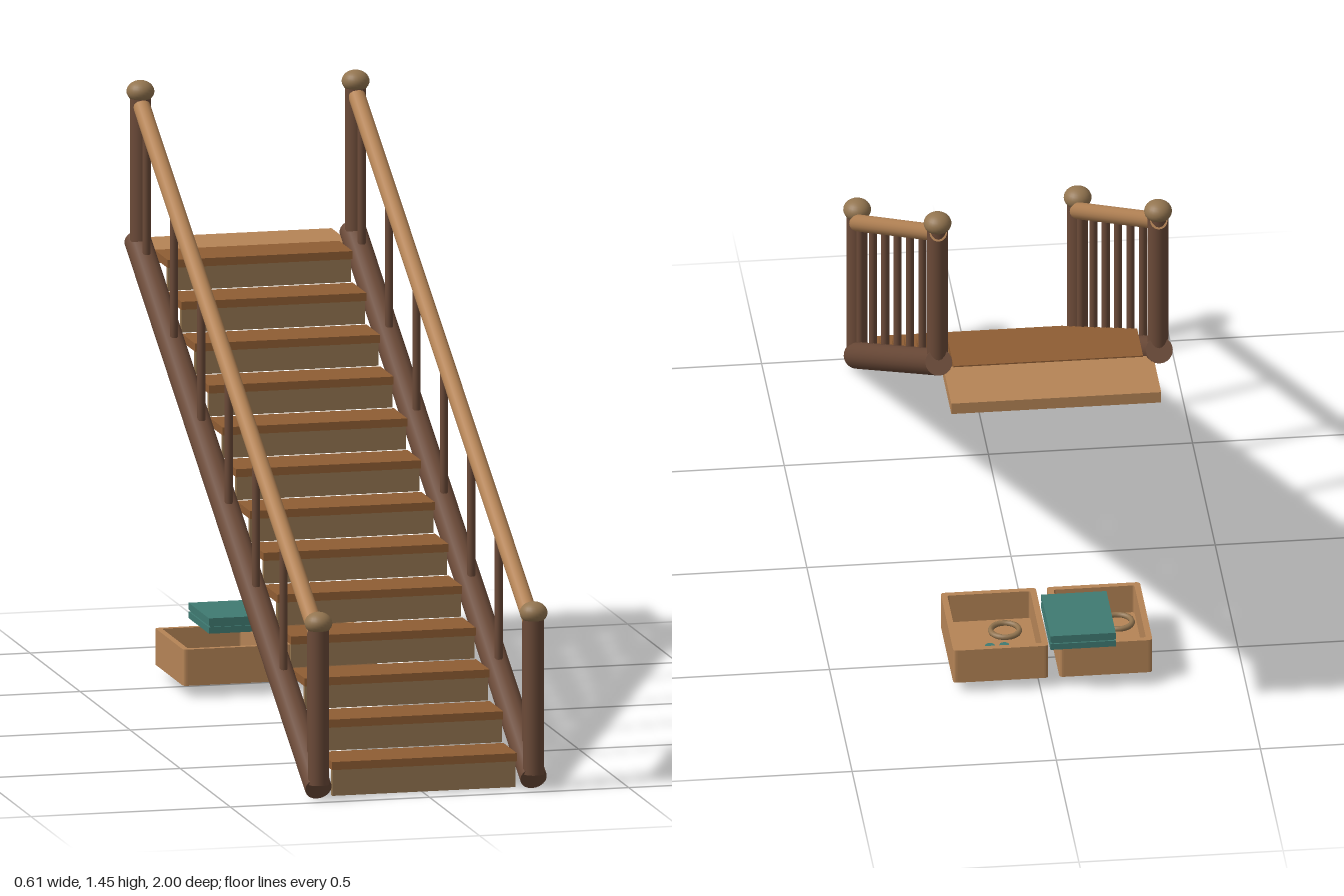
import * as THREE from 'three';

const mat = (name, color) => {
  const m = new THREE.MeshStandardMaterial({ color });
  m.name = name;
  return m;
};

export function createModel() {
  const root = new THREE.Group();
  root.name = 'staircase';
  const darkWood = mat('dark wood', 0x6b4a38);
  const treadWood = mat('tread wood', 0x8f5d33);
  const tanWood = mat('tan wood', 0x937550);
  const lightWood = mat('light wood', 0xb58456);
  const teal = mat('teal', 0x3f7a72);

  const add = (parent, name, geo, material, x, y, z) => {
    const m = new THREE.Mesh(geo, material);
    m.name = name;
    m.position.set(x, y, z);
    parent.add(m);
    return m;
  };
  const box = (parent, name, material, x0, x1, y0, y1, z0, z1) =>
    add(parent, name, new THREE.BoxGeometry(x1 - x0, y1 - y0, z1 - z0), material,
      (x0 + x1) / 2, (y0 + y1) / 2, (z0 + z1) / 2);

  // Round pole between two points
  const pole = (parent, name, material, a, b, r) => {
    const dir = b.clone().sub(a);
    const mid = a.clone().add(b).multiplyScalar(0.5);
    const m = add(parent, name, new THREE.CylinderGeometry(r, r, dir.length(), 20), material, mid.x, mid.y, mid.z);
    m.quaternion.setFromUnitVectors(new THREE.Vector3(0, 1, 0), dir.normalize());
    return m;
  };
  const V = (x, y, z) => new THREE.Vector3(x, y, z);

  // Steps: tread boards with risers below their front edges
  const rise = 0.0777, run = 0.1367, steps = 13;
  for (let i = 0; i < steps; i++) {
    const top = 0.09 + i * rise, front = 0.95 - i * run;
    box(root, 'tread', treadWood, -0.232, 0.232, top - 0.02, top, front - run + 0.003, front);
    box(root, 'riser', tanWood, -0.23, 0.23, i ? top - rise : 0.005, top - 0.02, front - 0.02, front - 0.006);
  }

  // Upper landing
  box(root, 'landing', lightWood, -0.257, 0.257, 0.99, 1.019, -1, -0.82);

  // Railings on both sides
  const stringerY = z => 0.03 + (0.965 - z) * 0.5623;
  const railY = z => 0.405 + (0.96 - z) * 0.557;
  for (const x of [-0.27, 0.27]) {
    const side = new THREE.Group();
    side.name = x > 0 ? 'leftRailing' : 'rightRailing';
    root.add(side);
    pole(side, 'stringer', darkWood, V(x, stringerY(0.965), 0.965), V(x, stringerY(-0.84), -0.84), 0.033);
    pole(side, 'handrail', lightWood, V(x, railY(0.965), 0.965), V(x, railY(-0.83), -0.83), 0.021);
    for (const [z, y0, y1] of [[0.965, 0.04, 0.43], [-0.812, 1.03, 1.41]]) {
      pole(side, 'newelPost', darkWood, V(x, y0, z), V(x, y1, z), 0.026);
      const cap = add(side, 'newelCap', new THREE.SphereGeometry(0.034, 24, 16), tanWood, x, y1 + 0.01, z);
      cap.scale.y = 0.8;
    }
    for (let i = 0; i < 7; i++) {
      const z = 0.89 - i * 0.2735;
      pole(side, 'baluster', darkWood, V(x, stringerY(z), z), V(x, railY(z), z), 0.01);
    }
  }

  // Rounded rectangle outline for the trays
  const roundRect = (target, w, d, r) => {
    const x = w / 2, y = d / 2;
    target.moveTo(-x + r, -y);
    target.lineTo(x - r, -y);
    target.quadraticCurveTo(x, -y, x, -y + r);
    target.lineTo(x, y - r);
    target.quadraticCurveTo(x, y, x - r, y);
    target.lineTo(-x + r, y);
    target.quadraticCurveTo(-x, y, -x, y - r);
    target.lineTo(-x, -y + r);
    target.quadraticCurveTo(-x, -y, -x + r, -y);
    return target;
  };
  const slab = (shape, depth) =>
    new THREE.ExtrudeGeometry(shape, { depth, bevelEnabled: false, curveSegments: 4 }).rotateX(-Math.PI / 2);

  // Two open trays under the stairs
  const tray = (name, x0, x1) => {
    const g = new THREE.Group();
    g.name = name;
    g.position.set((x0 + x1) / 2, 0.03, -0.506);
    root.add(g);
    const w = x1 - x0, d = 0.284;
    const walls = roundRect(new THREE.Shape(), w, d, 0.01);
    walls.holes.push(roundRect(new THREE.Path(), w - 0.03, d - 0.03, 0.006));
    add(g, 'trayWalls', slab(walls, 0.09), lightWood, 0, 0, 0);
    add(g, 'trayFloor', slab(roundRect(new THREE.Shape(), w - 0.004, d - 0.004, 0.01), 0.014), lightWood, 0, 0.001, 0);
    return g;
  };
  const leftTray = tray('leftTray', -0.02, 0.213);
  const rightTray = tray('rightTray', -0.275, -0.047);

  // Small things kept in the trays
  const ring = add(leftTray, 'ring', new THREE.TorusGeometry(0.035, 0.007, 8, 24), tanWood, -0.03, 0.035, 0.04);
  ring.rotation.set(Math.PI / 2, 0, 0);
  for (const dx of [-0.015, 0.02])
    add(leftTray, 'spool', new THREE.CylinderGeometry(0.012, 0.012, 0.05, 14), teal, dx, 0.039, -0.08);
  const ring2 = add(rightTray, 'ring', new THREE.TorusGeometry(0.035, 0.007, 8, 24), tanWood, -0.05, 0.035, 0.05);
  ring2.rotation.set(Math.PI / 2, 0, 0);

  // Flat teal case resting above the trays
  const flatCase = new THREE.Group();
  flatCase.name = 'flatCase';
  root.add(flatCase);
  box(flatCase, 'caseBase', teal, -0.18, -0.02, 0.132, 0.148, -0.69, -0.485);
  box(flatCase, 'caseSeam', teal, -0.176, -0.024, 0.147, 0.154, -0.686, -0.489);
  box(flatCase, 'caseLid', teal, -0.18, -0.02, 0.153, 0.17, -0.69, -0.485);

  return root;
}
